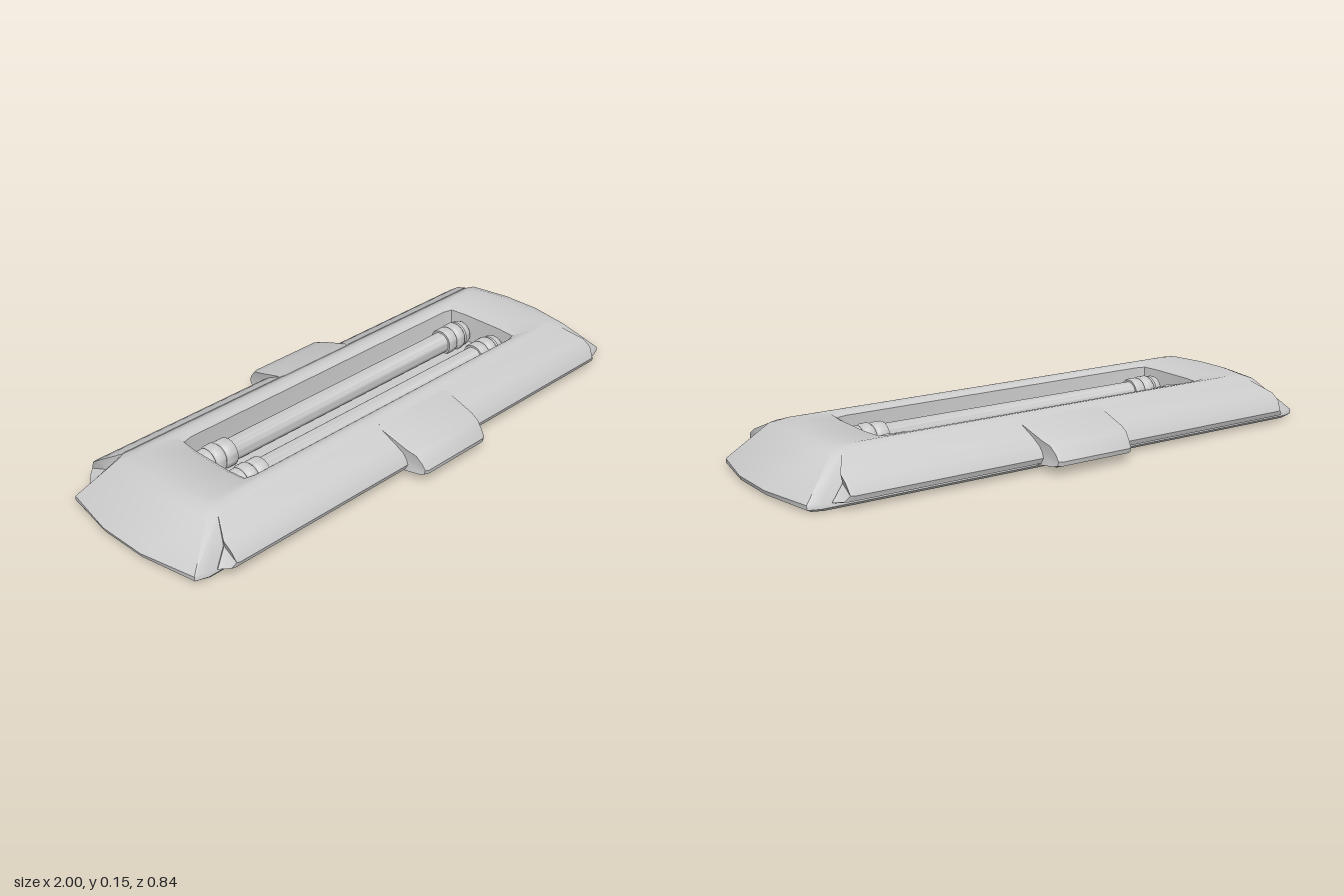
import * as THREE from 'three';
import { toCreasedNormals } from 'three/addons/utils/BufferGeometryUtils.js';

const material = new THREE.MeshStandardMaterial({ color: 0xcccccc });

function mesh(name, geometry, crease = 0.6) {
  const m = new THREE.Mesh(toCreasedNormals(geometry, crease), material);
  m.name = name;
  return m;
}

// Skin a list of equal-length rings of [x, y, z] points and close both ends
function loft(rings) {
  const n = rings[0].length;
  const pos = rings.flat(2);
  const index = [];
  for (let i = 0; i < rings.length - 1; i++) {
    for (let j = 0; j < n; j++) {
      const k = (j + 1) % n;
      const a = i * n + j, b = i * n + k, c = a + n, d = b + n;
      index.push(a, c, b, b, c, d);
    }
  }
  [0, rings.length - 1].forEach((r, end) => {
    const centre = pos.length / 3;
    for (let a = 0; a < 3; a++) pos.push(rings[r].reduce((s, p) => s + p[a], 0) / n);
    for (let j = 0; j < n; j++) {
      const p = r * n + j, q = r * n + (j + 1) % n;
      index.push(centre, ...(end ? [q, p] : [p, q]));
    }
  });
  const g = new THREE.BufferGeometry();
  g.setAttribute('position', new THREE.Float32BufferAttribute(pos, 3));
  g.setIndex(index);
  return g;
}

// Full outline at height y from the three points of one quarter [x, z]
function outline(y, quarter) {
  const back = [...quarter].reverse();
  return [
    ...quarter.map(([x, z]) => [x, y, z]),
    ...back.map(([x, z]) => [-x, y, z]),
    ...quarter.map(([x, z]) => [-x, y, -z]),
    ...back.map(([x, z]) => [x, y, -z]),
  ];
}

// Bar along x from a profile of [z, y, half length], with chamfered ends
function bar(profile, chamfer, shrink) {
  const cz = profile.reduce((s, p) => s + p[0], 0) / profile.length;
  const cy = profile.reduce((s, p) => s + p[1], 0) / profile.length;
  const ring = (side, inset, k) => profile.map(([z, y, x]) =>
    [side * (x - inset), cy + (y - cy) * k, cz + (z - cz) * k]);
  return loft([ring(-1, 0, shrink), ring(-1, chamfer, 1), ring(1, chamfer, 1), ring(1, 0, shrink)]);
}

export function createModel() {
  const model = new THREE.Group();
  model.name = 'lampFixture';

  // Housing: flat underside, sloping sides and ends, sunken tray on top
  model.add(mesh('housing', loft([
    outline(0, [[0.98, 0.09], [0.945, 0.285], [0.91, 0.298]]),
    outline(0.008, [[0.995, 0.09], [0.96, 0.29], [0.92, 0.303]]),
    outline(0.022, [[1, 0.09], [0.96, 0.288], [0.92, 0.3]]),
    outline(0.138, [[0.865, 0.07], [0.84, 0.212], [0.81, 0.226]]),
    outline(0.15, [[0.835, 0.06], [0.81, 0.185], [0.78, 0.198]]),
    outline(0.153, [[0.8, 0.06], [0.78, 0.175], [0.75, 0.187]]),
    outline(0.149, [[0.66, 0.08], [0.65, 0.156], [0.61, 0.165]]),
    outline(0.138, [[0.642, 0.08], [0.635, 0.143], [0.6, 0.152]]),
    outline(0.04, [[0.635, 0.08], [0.628, 0.136], [0.595, 0.145]]),
  ])));

  // Side rails and the clip on each long side
  const railProfile = [
    [0.2, 0.02, 0.8], [0.31, 0.02, 0.89], [0.343, 0.027, 0.865], [0.351, 0.045, 0.85],
    [0.333, 0.08, 0.855], [0.3, 0.102, 0.855], [0.228, 0.139, 0.815], [0.2, 0.1, 0.8],
  ];
  const clipProfile = [
    [0.2, 0.02, 0.163], [0.31, 0.015, 0.163], [0.4, 0.025, 0.15], [0.418, 0.031, 0.144],
    [0.421, 0.046, 0.143], [0.408, 0.068, 0.145], [0.385, 0.092, 0.15], [0.35, 0.104, 0.158],
    [0.222, 0.141, 0.163], [0.19, 0.1, 0.163],
  ];
  for (const [side, turn] of [['front', 0], ['back', Math.PI]]) {
    const rail = mesh(side + 'Rail', bar(railProfile, 0.012, 0.95));
    const clip = mesh(side + 'Clip', bar(clipProfile, 0.012, 0.94));
    rail.rotation.y = clip.rotation.y = turn;
    clip.position.x = 0.022;
    model.add(rail, clip);
  }

  // Two tubes with ringed end caps lying in the tray
  const capProfile = [
    [0, 0.63], [0.03, 0.63], [0.042, 0.622], [0.046, 0.612], [0.046, 0.597], [0.041, 0.593],
    [0.045, 0.589], [0.05, 0.583], [0.05, 0.56], [0.045, 0.554], [0.041, 0.55],
    [0.046, 0.546], [0.048, 0.54], [0.048, 0.512], [0.045, 0.506], [0.038, 0.506],
  ];
  const tubeProfile = [
    ...capProfile.map(([r, t]) => new THREE.Vector2(r, -t)),
    ...[...capProfile].reverse().map(([r, t]) => new THREE.Vector2(r, t)),
  ];
  for (const [name, z] of [['frontTube', 0.075], ['backTube', -0.081]]) {
    const tube = mesh(name, new THREE.LatheGeometry(tubeProfile, 32), 0.7);
    tube.rotation.z = -Math.PI / 2;
    tube.position.set(0, 0.075, z);
    model.add(tube);
  }

  return model;
}
